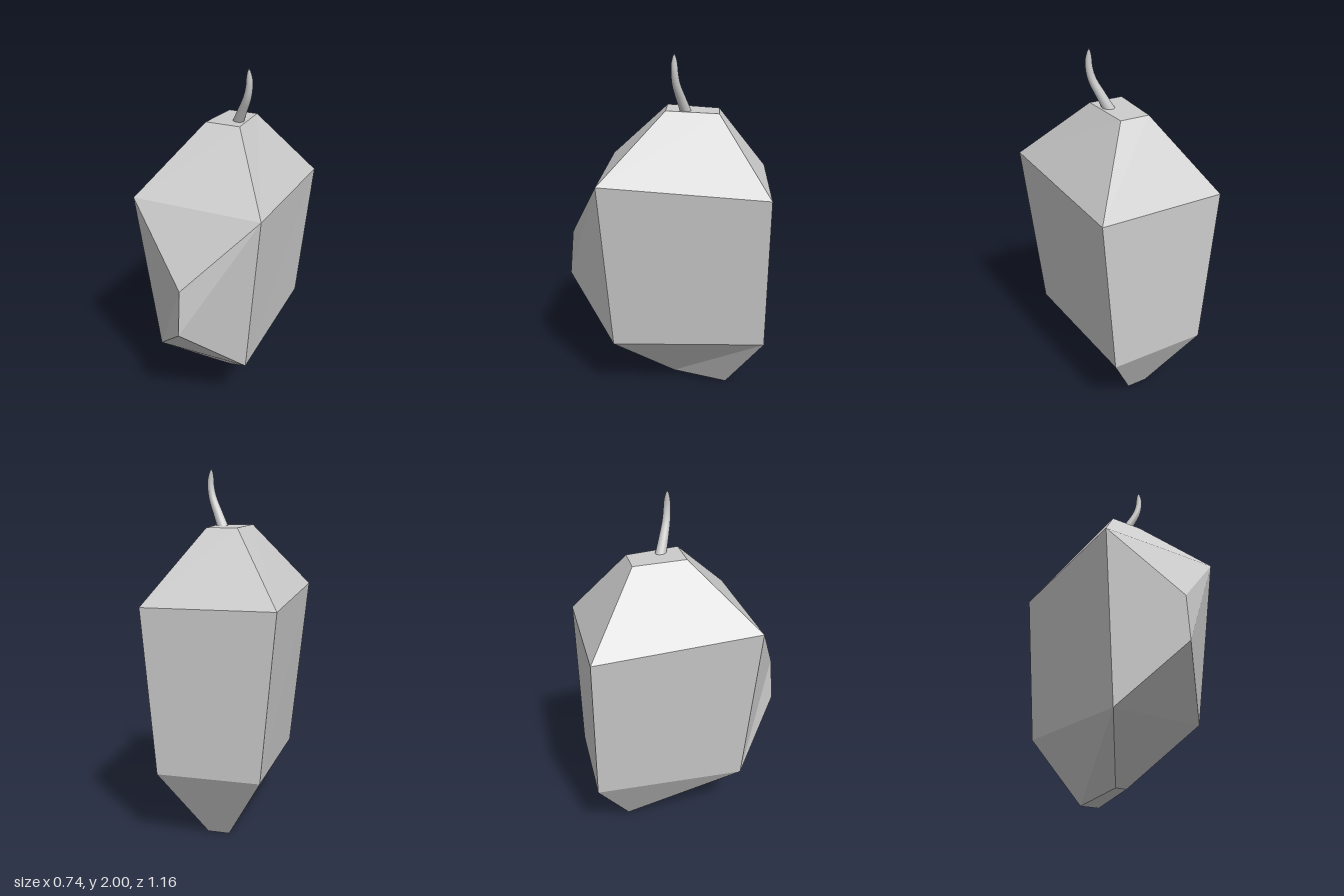
import * as THREE from 'three';

// Four corners of a level, counter-clockwise from above, starting front +x
const level = (fx, fy, fz, bx, by, bz) => [
  [fx, fy, fz], [bx, by, bz], [-bx, by, bz], [-fx, fy, fz],
];

function faceted(triangles, material) {
  const geometry = new THREE.BufferGeometry();
  geometry.setAttribute('position', new THREE.Float32BufferAttribute(triangles.flat(2), 3));
  geometry.computeVertexNormals();
  return new THREE.Mesh(geometry, material);
}

function createBody(material) {
  const levels = [
    level(0.035, 0.05, -0.05, 0.06, 0, -0.37),
    level(0.275, 0.36, 0.29, 0.28, 0.39, -0.577),
    level(0.37, 1.34, 0.35, 0.36, 1.28, -0.575),
    level(0.1, 1.695, 0, 0.085, 1.68, -0.29),
  ];
  const triangles = [];
  const quad = (a, b, c, d) => triangles.push([a, b, c], [a, c, d]);

  // Side facets between levels, leaving the middle front open
  for (let k = 0; k < 3; k++) {
    for (let i = 0; i < 4; i++) {
      if (k === 1 && i === 3) continue;
      const j = (i + 1) % 4;
      quad(levels[k][i], levels[k][j], levels[k + 1][j], levels[k + 1][i]);
    }
  }
  quad(...levels[3]);
  quad(...[...levels[0]].reverse());

  // Pointed front ridge with a cheek on each side
  const ridgeTop = [0, 0.95, 0.555], ridgeBottom = [0, 0.685, 0.58];
  const [lowR, , , lowL] = levels[1];
  const [highR, , , highL] = levels[2];
  triangles.push(
    [highL, ridgeTop, highR], [lowL, lowR, ridgeBottom],
    [highL, lowL, ridgeTop], [lowL, ridgeBottom, ridgeTop],
    [highR, ridgeTop, ridgeBottom], [highR, ridgeBottom, lowR],
  );
  const body = faceted(triangles, material);
  body.name = 'body';
  return body;
}

function createStem(material) {
  const curve = new THREE.CatmullRomCurve3([
    [0.04, 1.67, -0.112], [0.077, 1.75, -0.085], [0.117, 1.84, -0.058],
    [0.131, 1.91, -0.05], [0.129, 1.98, -0.048], [0.128, 2, -0.048],
  ].map((p) => new THREE.Vector3(...p)));
  const steps = 24, sides = 16;
  const geometry = new THREE.TubeGeometry(curve, steps, 1, sides);
  // Taper the tube and round off its tip
  const pos = geometry.attributes.position;
  const v = new THREE.Vector3();
  for (let i = 0; i < pos.count; i++) {
    const t = Math.floor(i / (sides + 1)) / steps;
    const radius = (0.031 - 0.016 * t) * Math.sqrt(Math.min(1, (1 - t) / 0.15));
    const centre = curve.getPointAt(t);
    v.fromBufferAttribute(pos, i).sub(centre).multiplyScalar(radius).add(centre);
    pos.setXYZ(i, v.x, v.y, v.z);
  }
  const stem = new THREE.Mesh(geometry, material);
  stem.name = 'stem';
  return stem;
}

export function createModel() {
  const group = new THREE.Group();
  group.name = 'facetedFruit';
  group.add(
    createBody(new THREE.MeshStandardMaterial({ color: 0xcccccc, flatShading: true })),
    createStem(new THREE.MeshStandardMaterial({ color: 0xcccccc })),
  );
  return group;
}
